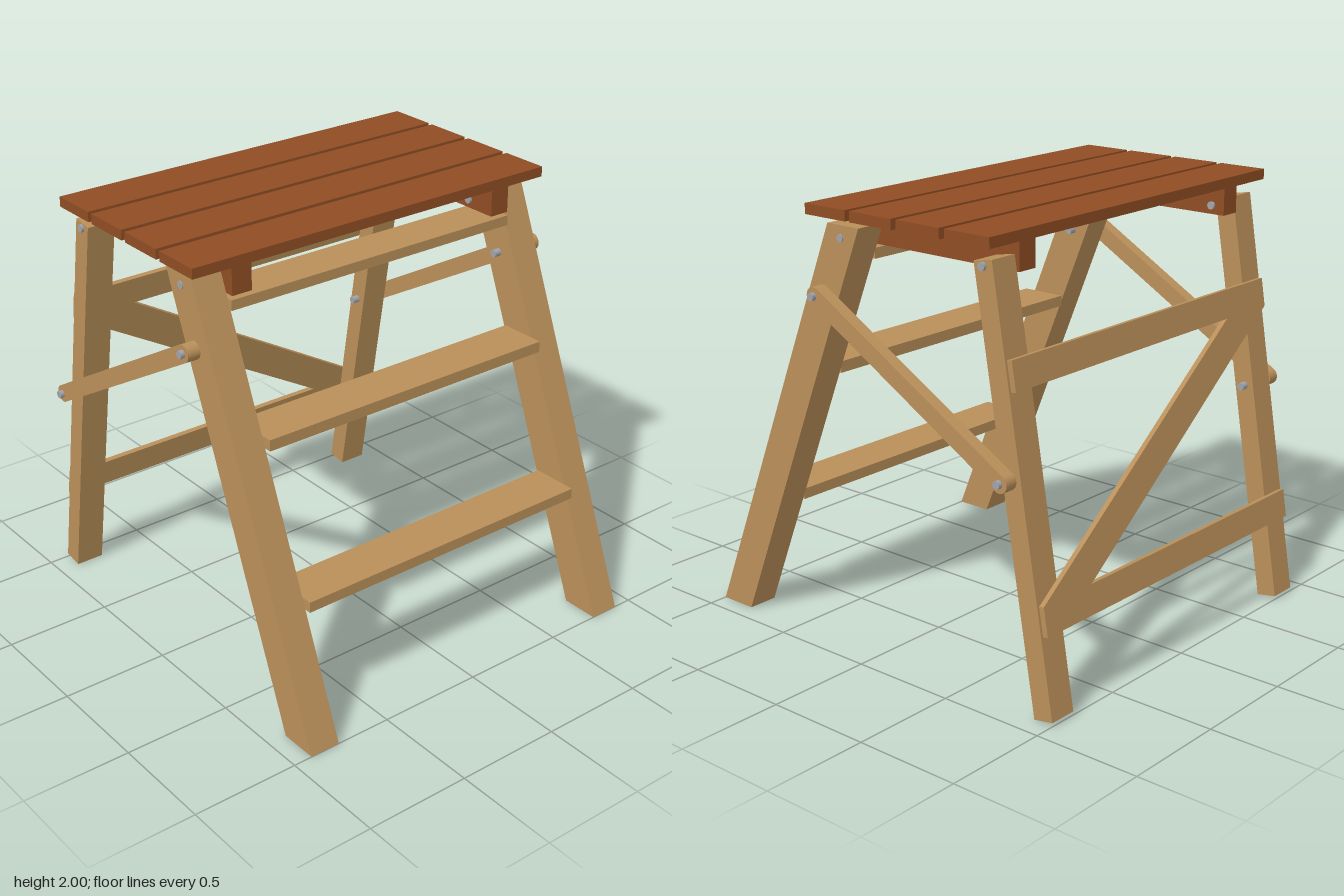
import * as THREE from 'three';

const mat = (name, color) => {
  const m = new THREE.MeshStandardMaterial({ color });
  m.name = name;
  return m;
};

export function createModel() {
  const wood = mat('light wood', 0xb98f59);
  const redWood = mat('reddish brown wood', 0x904d24);
  const steel = mat('grey steel', 0xa0a3a8);
  const model = new THREE.Group();
  model.name = 'foldingStepStool';

  const add = (parent, name, geometry, material) => {
    const mesh = new THREE.Mesh(geometry, material);
    mesh.name = name;
    parent.add(mesh);
    return mesh;
  };
  // Box given by its limits on each axis
  const box = (parent, name, material, [x0, x1], [y0, y1], [z0, z1]) =>
    add(parent, name, new THREE.BoxGeometry(x1 - x0, y1 - y0, z1 - z0), material)
      .position.set((x0 + x1) / 2, (y0 + y1) / 2, (z0 + z1) / 2);
  // Side profile (z, y) extruded between two x values
  const sideExtrude = (shape, x0, x1) =>
    new THREE.ExtrudeGeometry(shape, { depth: x1 - x0, bevelEnabled: false, curveSegments: 12 })
      .rotateY(-Math.PI / 2).translate(x1, 0, 0);
  const polygon = (points) => new THREE.Shape(points.map(([a, b]) => new THREE.Vector2(a, b)));
  const span = (side, a, b) => (side > 0 ? [a, b] : [-b, -a]);

  // Platform slats
  for (let i = 0; i < 4; i++) {
    const front = 0.305 - i * 0.262;
    box(model, 'platformSlat', redWood, [-0.957, 0.957], [1.953, 2], [front - 0.235, front]);
  }

  // Step treads, from the back of the front legs to just past their front
  [[0.56, 0.61, 0.58, 0.805], [1.215, 1.267, 0.315, 0.543], [1.76, 1.807, 0.09, 0.295]].forEach(
    ([y0, y1, z0, z1]) => box(model, 'tread', wood, [-0.765, 0.765], [y0, y1], [z0, z1]));

  // Rear frame leans forward as one unit
  const rear = new THREE.Group();
  rear.name = 'rearFrame';
  rear.position.set(0, 0.008, -0.952);
  rear.rotation.x = Math.atan2(0.319, 1.88);
  model.add(rear);
  const [zIn, zOut] = [-0.047, -0.073];
  box(rear, 'upperRail', wood, [-0.89, 0.89], [1.378, 1.508], [zOut, zIn]);
  box(rear, 'lowerRail', wood, [-0.89, 0.89], [0.364, 0.494], [zOut, zIn]);
  add(rear, 'diagonalBrace', new THREE.ExtrudeGeometry(
    polygon([[-0.89, 1.378], [0.58, 0.494], [0.89, 0.494], [-0.58, 1.378]]),
    { depth: zIn - zOut, bevelEnabled: false }).translate(0, 0, zOut), wood);

  // Strut joints as (z, y)
  const frontJoint = new THREE.Vector2(0.247, 1.613);
  const rearJoint = new THREE.Vector2(-0.782, 1.02);
  const r = 0.04;
  const angle = frontJoint.clone().sub(rearJoint).angle();
  const strut = new THREE.Shape();
  strut.absarc(frontJoint.x, frontJoint.y, r, angle - Math.PI / 2, angle + Math.PI / 2, false);
  strut.absarc(rearJoint.x, rearJoint.y, r, angle + Math.PI / 2, angle + Math.PI * 1.5, false);
  const frontLeg = polygon([[1, 0], [0.222, 1.92], [0.04, 1.92], [0.818, 0]]);

  for (const side of [1, -1]) {
    const name = side > 0 ? 'left' : 'right';
    const bolt = (part, z, y, a, b) =>
      add(model, name + part, new THREE.CylinderGeometry(0.018, 0.018, b - a, 12).rotateZ(Math.PI / 2), steel)
        .position.set(side * (a + b) / 2, y, z);

    add(model, name + 'FrontLeg', sideExtrude(frontLeg, ...span(side, 0.765, 0.91)), wood);
    box(rear, name + 'RearLeg', wood, span(side, 0.765, 0.902), [0, 1.907], [-0.048, 0.048]);
    box(model, name + 'PlatformBearer', redWood, span(side, 0.662, 0.76), [1.825, 1.953], [-0.7, 0.295]);
    add(model, name + 'FoldingStrut', sideExtrude(strut, ...span(side, 0.92, 0.98)), wood);

    // Pivot bolts
    bolt('FrontStrutBolt', frontJoint.x, frontJoint.y, 0.73, 1);
    bolt('RearStrutBolt', rearJoint.x, rearJoint.y, 0.73, 1);
    bolt('FrontPlatformBolt', 0.147, 1.865, 0.65, 0.916);
    bolt('RearPlatformBolt', -0.635, 1.865, 0.65, 0.916);
  }
  return model;
}
